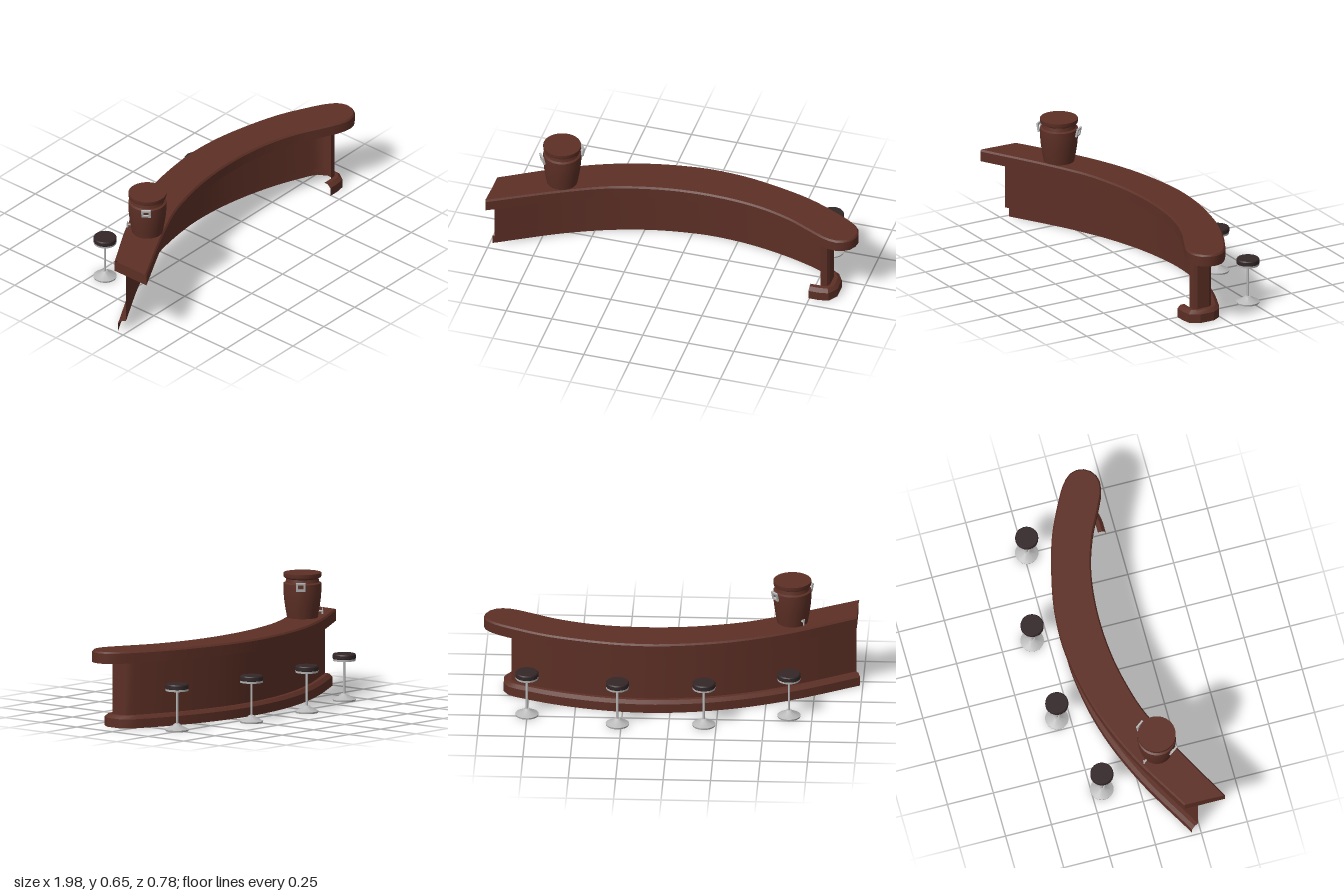
import * as THREE from 'three';
import { toCreasedNormals } from 'three/addons/utils/BufferGeometryUtils.js';

const wood = new THREE.MeshStandardMaterial({ name: 'brown wood', color: 0x5c2f25, side: THREE.DoubleSide });
const leather = new THREE.MeshStandardMaterial({ name: 'dark leather', color: 0x332728 });
const metal = new THREE.MeshStandardMaterial({ name: 'grey metal', color: 0xb8b8b8, side: THREE.DoubleSide });

function add(parent, name, geometry, material, x = 0, y = 0, z = 0) {
  const mesh = new THREE.Mesh(geometry, material);
  mesh.name = name;
  mesh.position.set(x, y, z);
  parent.add(mesh);
  return mesh;
}

// Smooth plan path through [x, z] points
function smooth(points, n) {
  const curve = new THREE.CatmullRomCurve3(points.map(([x, z]) => new THREE.Vector3(x, 0, z)));
  return curve.getSpacedPoints(n).map((p) => [p.x, p.z]);
}

// Moves a plan path sideways, to its outer side
function offset(path, d) {
  return path.map(([x, z], i) => {
    const a = path[Math.max(i - 1, 0)], b = path[Math.min(i + 1, path.length - 1)];
    const tx = b[0] - a[0], tz = b[1] - a[1], l = Math.hypot(tx, tz);
    return [x + (tz / l) * d, z - (tx / l) * d];
  });
}

// Sweeps a profile of [outward offset, height] along a plan path
function sweep(path, profile) {
  const pos = [], n = path.length;
  const rows = profile.map(([d, y]) => offset(path, d).map(([x, z]) => [x, y, z]));
  for (let r = 0; r + 1 < rows.length; r++) {
    for (let i = 0; i + 1 < n; i++) {
      const a = rows[r][i], b = rows[r][i + 1], c = rows[r + 1][i], d = rows[r + 1][i + 1];
      pos.push(...a, ...c, ...b, ...b, ...c, ...d);
    }
  }
  const g = new THREE.BufferGeometry();
  g.setAttribute('position', new THREE.Float32BufferAttribute(pos, 3));
  g.computeVertexNormals();
  return toCreasedNormals(g, 0.5);
}

function flatCap(path) {
  const shape = new THREE.Shape(path.map(([x, z]) => new THREE.Vector2(x, -z)));
  return new THREE.ShapeGeometry(shape).rotateX(-Math.PI / 2);
}

function lathe(points, sides) {
  return toCreasedNormals(new THREE.LatheGeometry(points.map(([r, y]) => new THREE.Vector2(r, y)), sides), 0.5);
}

function makeCounter() {
  const g = new THREE.Group();
  g.name = 'counter';

  // Worktop with one rounded end and one square end
  const edge = smooth([
    [-0.97, 0.165], [-0.64, -0.025], [-0.4, -0.128], [-0.185, -0.187], [0.03, -0.218], [0.136, -0.221],
    [0.297, -0.209], [0.484, -0.172], [0.67, -0.118], [0.83, -0.045], [0.928, 0.01], [0.98, 0.06],
    [0.993, 0.105], [0.98, 0.155], [0.945, 0.19], [0.896, 0.204], [0.84, 0.195], [0.74, 0.15],
    [0.617, 0.09], [0.457, 0.038], [0.297, 0.011], [0.11, 0.003], [-0.078, 0.017], [-0.238, 0.048],
    [-0.388, 0.091], [-0.62, 0.198], [-0.97, 0.387],
  ], 110);
  add(g, 'worktopEdge', sweep(edge, [[0, 0.352], [0, 0.406], [-0.008, 0.415]]), wood);
  add(g, 'worktopTop', flatCap(offset(edge, -0.008)), wood, 0, 0.415, 0);
  add(g, 'worktopUnderside', flatCap(edge), wood, 0, 0.352, 0);
  add(g, 'worktopSquareEnd', sweep([edge[edge.length - 1], edge[0]], [[0, 0.352], [0, 0.412]]), wood);

  // Thin front panel that hooks round at the rounded end
  const run = smooth([
    [-0.965, 0.24], [-0.64, 0.058], [-0.4, -0.045], [-0.185, -0.106], [0.03, -0.137], [0.136, -0.14],
    [0.297, -0.128], [0.484, -0.092], [0.65, -0.042], [0.8, 0.02],
  ], 48);
  const hook = [[0.83, 0.037], [0.845, 0.06], [0.845, 0.13], [0.833, 0.148], [0.8, 0.152]];
  add(g, 'panel', sweep([...run, ...hook], [[0, 0.065], [0, 0.352]]), wood);

  // Plinth moulding that follows the panel
  add(g, 'plinth', sweep([...run, ...hook, [0.745, 0.152]],
    [[0.042, 0], [0.042, 0.048], [0.022, 0.065], [0, 0.065]]), wood);
  return g;
}

function makeBarrel() {
  const g = new THREE.Group();
  g.name = 'barrel';
  add(g, 'barrelBody', lathe([
    [0, 0], [0.081, 0], [0.09, 0.05], [0.097, 0.1], [0.101, 0.15], [0.1, 0.184], [0.089, 0.19],
    [0.085, 0.209], [0.098, 0.216], [0.1, 0.222], [0.1, 0.239], [0, 0.239],
  ], 32), wood);

  // Square handles on both sides
  const frame = new THREE.Shape([[-0.025, -0.023], [0.025, -0.023], [0.025, 0.023], [-0.025, 0.023]]
    .map(([x, y]) => new THREE.Vector2(x, y)));
  frame.holes.push(new THREE.Path([[-0.014, -0.012], [-0.014, 0.012], [0.014, 0.012], [0.014, -0.012]]
    .map(([x, y]) => new THREE.Vector2(x, y))));
  const handle = new THREE.ExtrudeGeometry(frame, { depth: 0.01, bevelEnabled: false })
    .translate(0, 0, -0.005).rotateX(0.2);
  for (const side of [0, Math.PI]) {
    const arm = new THREE.Group();
    arm.name = 'handleMount';
    arm.rotation.y = side;
    add(arm, 'handle', handle, metal, 0, 0.175, 0.111);
    add(arm, 'handleLug', new THREE.BoxGeometry(0.02, 0.01, 0.014), metal, 0, 0.157, 0.103);
    g.add(arm);
  }

  // Tap near the foot
  const tap = new THREE.Group();
  tap.name = 'tap';
  tap.rotation.y = Math.PI / 2;
  add(tap, 'tapSpout', new THREE.CylinderGeometry(0.005, 0.005, 0.026, 10).rotateX(Math.PI / 2), metal, 0, 0.035, 0.095);
  add(tap, 'tapNozzle', new THREE.CylinderGeometry(0.005, 0.005, 0.022, 10), metal, 0, 0.029, 0.106);
  add(tap, 'tapLever', new THREE.BoxGeometry(0.014, 0.012, 0.005), metal, 0, 0.045, 0.106);
  g.add(tap);

  g.position.set(-0.633, 0.414, 0.105);
  g.rotation.y = Math.atan2(0.8, -0.6);
  return g;
}

function makeStool(x, z) {
  const g = new THREE.Group();
  g.name = 'stool';
  add(g, 'seat', lathe([[0, 0.222], [0.058, 0.222], [0.061, 0.227], [0.061, 0.245], [0.057, 0.251], [0, 0.251]], 28), leather);
  add(g, 'seatRing', lathe([[0.052, 0.223], [0.052, 0.214], [0.06, 0.214], [0.061, 0.225]], 28), metal);
  add(g, 'post', new THREE.CylinderGeometry(0.0065, 0.0065, 0.19, 14), metal, 0, 0.128, 0);
  add(g, 'foot', lathe([[0, 0], [0.06, 0], [0.062, 0.009], [0.05, 0.015], [0.02, 0.032], [0.014, 0.039], [0, 0.039]], 28), metal);
  g.position.set(x, 0, z);
  return g;
}

export function createModel() {
  const model = new THREE.Group();
  model.name = 'barCounter';
  model.add(makeCounter(), makeBarrel());
  for (const [x, z] of [[-0.628, -0.193], [-0.185, -0.32], [0.27, -0.333], [0.751, -0.234]]) {
    model.add(makeStool(x, z));
  }
  return model;
}
